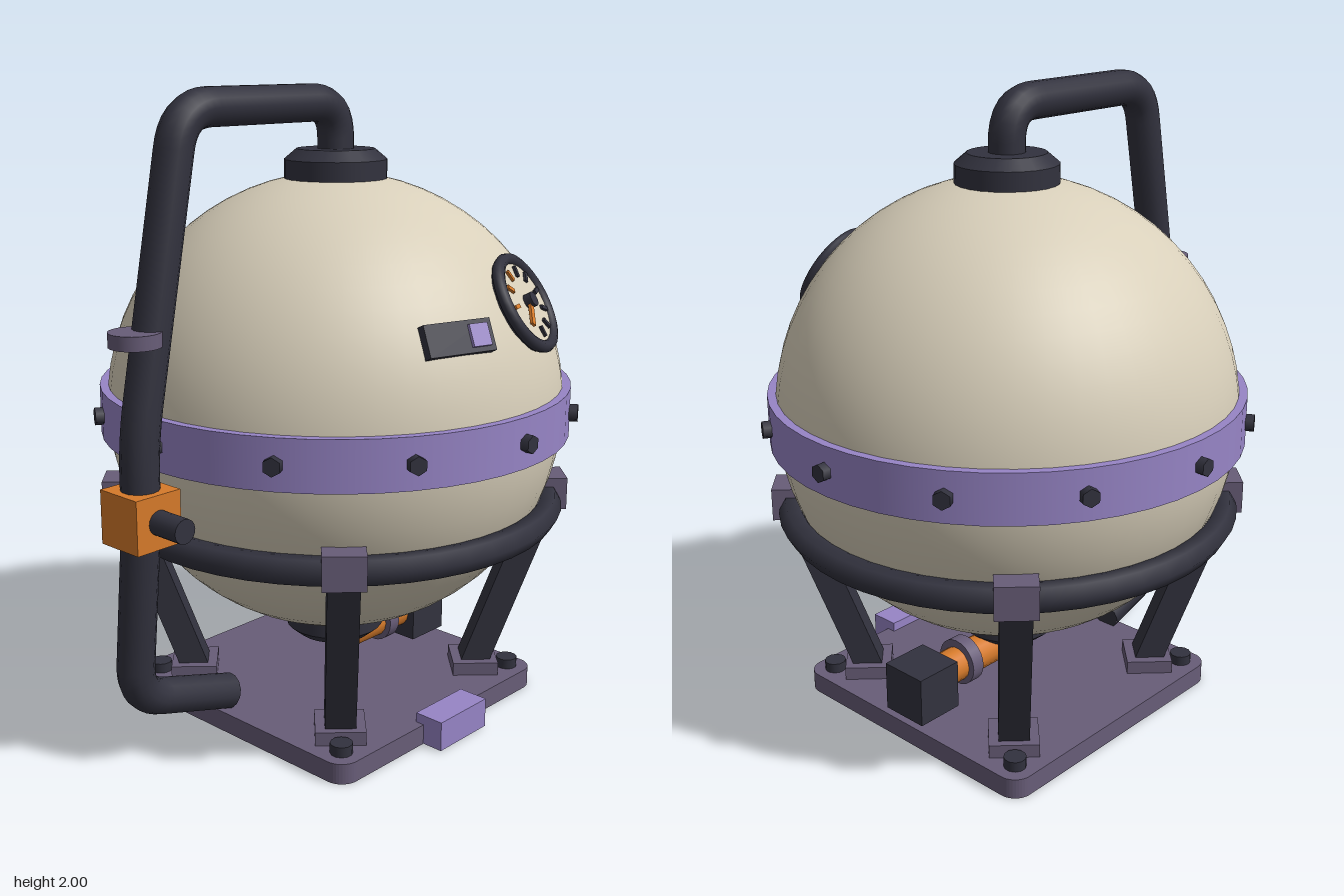
import * as THREE from 'three';

const mat = (name, color) => {
  const m = new THREE.MeshStandardMaterial({ color });
  m.name = name;
  return m;
};

export function createModel() {
  const cream = mat('cream', 0xd8cfba);
  const dark = mat('charcoal', 0x32323e);
  const purple = mat('lavender', 0x9785c6);
  const mauve = mat('greyMauve', 0x685d78);
  const orange = mat('orange', 0xd67a2a);

  const root = new THREE.Group();
  root.name = 'sphericalTank';
  const CX = 0.06;

  const add = (parent, name, geo, material, x = 0, y = 0, z = 0) => {
    const m = new THREE.Mesh(geo, material);
    m.name = name;
    m.position.set(x, y, z);
    parent.add(m);
    return m;
  };
  const group = (parent, name, x = 0, y = 0, z = 0) => {
    const g = new THREE.Group();
    g.name = name;
    g.position.set(x, y, z);
    parent.add(g);
    return g;
  };
  const box = (w, h, d) => new THREE.BoxGeometry(w, h, d);
  const cyl = (r, h, n = 24, r2 = r) => new THREE.CylinderGeometry(r2, r, h, n);

  // Round pipe through corner points with softened bends and closed ends
  const pipe = (name, pts, radius, bend, material) => {
    const v = pts.map((p) => new THREE.Vector3(...p));
    const path = new THREE.CurvePath();
    let from = v[0];
    for (let i = 1; i < v.length - 1; i++) {
      const a = v[i].clone().add(v[i - 1].clone().sub(v[i]).setLength(bend));
      const b = v[i].clone().add(v[i + 1].clone().sub(v[i]).setLength(bend));
      path.add(new THREE.LineCurve3(from, a));
      path.add(new THREE.QuadraticBezierCurve3(a, v[i], b));
      from = b;
    }
    const last = v[v.length - 1];
    path.add(new THREE.LineCurve3(from, last));
    const g = group(root, name);
    add(g, name + 'Tube', new THREE.TubeGeometry(path, 120, radius, 14), material);
    const cap = add(g, name + 'End', new THREE.CircleGeometry(radius, 14), material, ...last.toArray());
    cap.lookAt(last.clone().multiplyScalar(2).sub(v[v.length - 2]));
    return g;
  };

  // Tank body
  const tank = group(root, 'tank', CX, 1.005, 0);
  add(tank, 'sphere', new THREE.SphereGeometry(0.725, 48, 32), cream);

  // Equator band with radial bolts
  add(tank, 'equatorBand', cyl(0.747, 0.155, 48), purple);
  for (let i = 0; i < 12; i++) {
    const arm = group(tank, 'bandBolt');
    arm.rotation.y = (i * Math.PI) / 6;
    add(arm, 'boltHead', cyl(0.028, 0.04, 6), dark, 0, 0, 0.752).rotation.x = Math.PI / 2;
  }

  // Chamfered collars at both poles
  for (const s of [1, -1]) {
    const collar = group(tank, s > 0 ? 'topCollar' : 'bottomCollar');
    if (s < 0) collar.rotation.x = Math.PI;
    add(collar, 'collarBody', cyl(0.16, 0.09), dark, 0, 0.72, 0);
    add(collar, 'collarChamfer', cyl(0.16, 0.032, 24, 0.122), dark, 0, 0.781, 0);
  }

  // Group standing on the sphere, facing outwards along a direction
  const onSphere = (name, dir, r) => {
    const d = new THREE.Vector3(...dir).normalize();
    const g = group(tank, name, ...d.clone().multiplyScalar(r).toArray());
    g.quaternion.setFromRotationMatrix(
      new THREE.Matrix4().lookAt(d, new THREE.Vector3(), new THREE.Vector3(0, 1, 0)));
    return g;
  };

  // Pressure gauge
  const gauge = onSphere('gauge', [0.18, 0.37, 0.61], 0.728);
  add(gauge, 'gaugeBack', cyl(0.15, 0.035, 36), dark, 0, 0, -0.015).rotation.x = Math.PI / 2;
  add(gauge, 'gaugeRim', new THREE.TorusGeometry(0.142, 0.019, 8, 36), dark);
  add(gauge, 'dialFace', new THREE.CircleGeometry(0.132, 36), cream, 0, 0, 0.005);
  for (let i = 0; i < 9; i++) {
    const a = Math.PI - (i * Math.PI * 1.5) / 8;
    const tick = add(gauge, 'dialTick', box(0.034, 0.013, 0.008), i < 3 ? orange : dark,
      0.098 * Math.cos(a), 0.098 * Math.sin(a), 0.009);
    tick.rotation.z = a;
  }
  const needleAngle = (Math.PI * 5) / 4;
  add(gauge, 'needle', box(0.1, 0.018, 0.009), orange,
    0.045 * Math.cos(needleAngle), 0.045 * Math.sin(needleAngle), 0.016).rotation.z = needleAngle;
  add(gauge, 'needleHub', cyl(0.023, 0.025, 16), dark, 0, 0, 0.017).rotation.x = Math.PI / 2;

  // Switch plate
  const plate = onSphere('switchPlate', [-0.18, 0.315, 0.63], 0.725);
  add(plate, 'plateBody', box(0.225, 0.095, 0.035), dark);
  add(plate, 'switchButton', box(0.062, 0.066, 0.016), purple, 0.063, 0, 0.02);

  // Base plate with rounded corners
  const base = group(root, 'base', CX, 0, 0);
  const h = 0.483, c = 0.06;
  const outline = new THREE.Shape();
  outline.absarc(h - c, h - c, c, 0, Math.PI / 2);
  outline.absarc(c - h, h - c, c, Math.PI / 2, Math.PI);
  outline.absarc(c - h, c - h, c, Math.PI, Math.PI * 1.5);
  outline.absarc(h - c, c - h, c, Math.PI * 1.5, Math.PI * 2);
  const slab = new THREE.ExtrudeGeometry(outline, { depth: 0.065, bevelEnabled: false, curveSegments: 5 });
  add(base, 'basePlate', slab.rotateX(-Math.PI / 2), mauve);
  add(base, 'frontPedal', box(0.225, 0.095, 0.1), purple, 0, 0.0485, 0.503);

  // Four leaning legs on the diagonals, with feet, clamps and corner bolts
  const foot = new THREE.Vector2(0.465, 0.085), head = new THREE.Vector2(0.685, 0.68);
  const span = head.clone().sub(foot);
  for (let i = 0; i < 4; i++) {
    const leg = group(base, 'leg');
    leg.rotation.y = Math.PI / 4 + (i * Math.PI) / 2;
    add(leg, 'footPad', box(0.155, 0.045, 0.15), mauve, 0, 0.0855, 0.47);
    add(leg, 'strut', box(0.095, span.length(), 0.09), dark, 0,
      (foot.y + head.y) / 2, (foot.x + head.x) / 2).rotation.x = Math.atan2(span.x, span.y);
    add(leg, 'ringClamp', box(0.127, 0.105, 0.105), mauve, 0, 0.697, 0.7);
    add(leg, 'cornerBolt', cyl(0.035, 0.035, 12), dark, 0, 0.08, 0.585);
  }

  // Support ring
  add(base, 'supportRing', new THREE.TorusGeometry(0.69, 0.044, 6, 48), dark, 0, 0.683, 0)
    .rotation.x = Math.PI / 2;

  // Long side pipe from the top collar to the base
  pipe('sidePipe', [
    [CX, 1.76, 0], [CX, 1.942, 0], [-0.57, 1.942, 0], [-0.75, 1.03, 0],
    [-0.75, 0.8, 0], [-0.75, 0.225, -0.06], [-0.37, 0.11, -0.065],
  ], 0.057, 0.11, dark);
  add(root, 'pipeFlange', cyl(0.076, 0.042), mauve, -0.75, 1.325, 0);

  // Valve block with front knob
  add(root, 'valveBlock', box(0.16, 0.162, 0.16), orange, -0.75, 0.81, 0);
  add(root, 'valveKnob', cyl(0.037, 0.12, 16), dark, -0.75, 0.81, 0.13).rotation.x = Math.PI / 2;

  // Outlet under the tank
  pipe('outletPipe', [[CX, 0.26, 0], [CX, 0.176, 0], [0.42, 0.176, 0]], 0.056, 0.07, orange);
  add(root, 'outletRing', cyl(0.077, 0.045), mauve, 0.283, 0.18, 0).rotation.z = Math.PI / 2;
  add(root, 'outletBox', box(0.16, 0.16, 0.16), dark, 0.46, 0.165, 0);

  return root;
}
